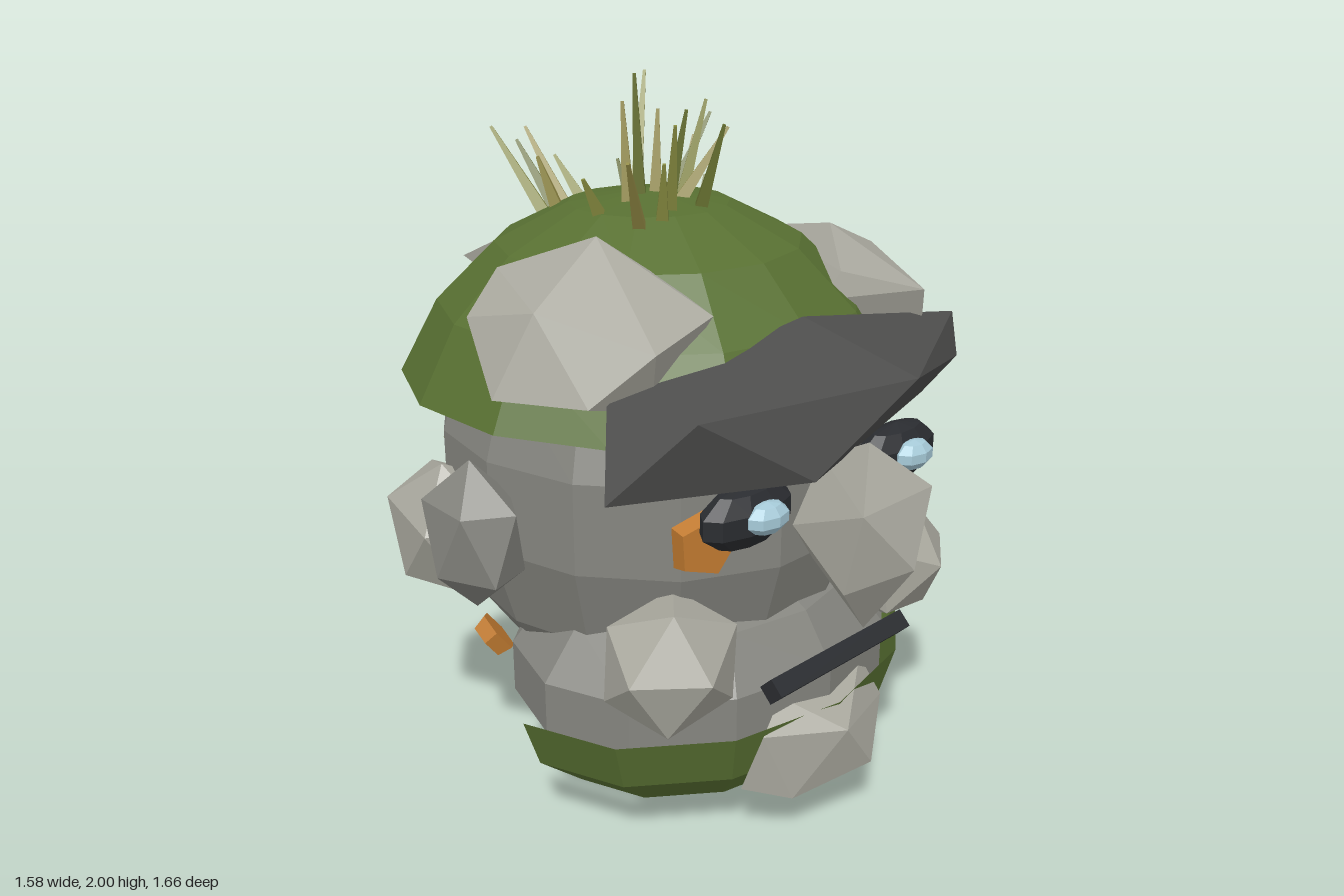
import * as THREE from 'three';
import { ConvexGeometry } from 'three/addons/geometries/ConvexGeometry.js';

const mat = (color, side = THREE.FrontSide) =>
  new THREE.MeshStandardMaterial({ color, flatShading: true, side });

const V = (p) => new THREE.Vector3(...p);

export function createModel() {
  const root = new THREE.Group();
  const rock = mat(0x85857f), stone = mat(0xa9a89e), brow = mat(0x4e4e4d);
  const moss = mat(0x587032, THREE.DoubleSide), dark = mat(0x2a2c30);
  const glow = mat(0xa6cad8), amber = mat(0xc07a30), yellow = mat(0xa8a55c), jade = mat(0xa3bda3);
  const blades = [mat(0x85893f), mat(0x66702f), mat(0x928a45)];

  const add = (name, geometry, material, position = [0, 0, 0], scale = [1, 1, 1]) => {
    const mesh = new THREE.Mesh(geometry, material);
    mesh.name = name;
    mesh.position.set(...position);
    mesh.scale.set(...scale);
    root.add(mesh);
    return mesh;
  };
  // Faceted stone as the hull of a few corners
  const hull = (name, material, points) => add(name, new ConvexGeometry(points.map(V)), material);
  // Turned icosahedron fitted to the given half sizes
  const boulder = (name, center, half, turn, material = stone) => {
    const g = new THREE.IcosahedronGeometry(1, 0);
    g.applyMatrix4(new THREE.Matrix4().makeRotationFromEuler(new THREE.Euler(...turn)));
    g.computeBoundingBox();
    const b = g.boundingBox.max;
    g.scale(half[0] / b.x, half[1] / b.y, half[2] / b.z);
    return add(name, g, material, center);
  };

  // Head masses
  add('skull', new THREE.SphereGeometry(1, 14, 9), rock, [0, 0.93, -0.105], [0.62, 0.735, 0.635]);
  add('jaw', new THREE.SphereGeometry(1, 12, 7), rock, [0, 0.405, 0.1], [0.625, 0.34, 0.49]);

  // Moss cap, with vertices on the centre line front and back
  const cap = new THREE.SphereGeometry(1, 14, 4, 0, Math.PI * 2, 0, Math.PI * 70 / 180);
  cap.rotateY(Math.PI / 2);
  add('mossCap', cap, moss, [0, 0.93, -0.125], [0.75, 0.76, 0.745]);

  // Moss beard: a wide upper band and a narrower part under the chin
  const q = Math.PI / 4;
  const beardAt = [0, 0.385, 0.09], beardSize = [0.68, 0.385, 0.525];
  add('mossBeard', new THREE.SphereGeometry(1, 6, 2, 0, Math.PI, 2 * q, q), moss, beardAt, beardSize);
  add('mossUnderChin', new THREE.SphereGeometry(1, 4, 2, Math.PI / 6, Math.PI * 2 / 3, 3 * q, q),
    moss, beardAt, beardSize);

  // Brow ridge
  hull('brow', brow, [
    [0, 1.44, 0.44], [0.69, 1.31, 0.42], [0.64, 1.2, 0.48], [0.59, 1.08, 0.4],
    [-0.53, 1.3, 0.28], [-0.5, 1.31, 0.56], [-0.65, 1.1, 0.4], [-0.2, 1.11, 0.665],
    [0.2, 1.28, 0.665], [0.22, 1.08, 0.5], [0.45, 1.11, 0.27], [0.45, 1.24, 0.26], [-0.4, 1.11, 0.28],
  ]);

  // Nose
  const nose = [[0, 1.16, 0.67], [0, 0.64, 0.68], [0, 0.86, 0.83], [0, 1.08, 0.52], [0, 0.78, 0.5]];
  for (const s of [-1, 1]) {
    nose.push([s * 0.14, 1.03, 0.77], [s * 0.14, 0.8, 0.72], [s * 0.11, 0.92, 0.52]);
  }
  hull('nose', stone, nose);

  // Paired features
  for (const s of [-1, 1]) {
    const side = s > 0 ? 'left' : 'right';
    add(side + 'EyeSocket', new THREE.SphereGeometry(1, 10, 5), dark, [s * 0.3, 1.015, 0.53], [0.16, 0.085, 0.07]);
    add(side + 'Eye', new THREE.SphereGeometry(1, 8, 5), glow, [s * 0.295, 1.025, 0.595], [0.07, 0.042, 0.045]);
    boulder(side + 'Cheek', [s * 0.445, 0.605, 0.41], [0.195, 0.175, 0.18], [0.45, s * 0.35, s * 0.3]);
    boulder(side + 'Ear', [s * 0.68, 0.88, -0.085], [0.11, 0.21, 0.155], [0, s * 0.1, s * 0.55], rock);
  }
  // Stones behind the ears differ in size
  boulder('leftEarBack', [0.53, 0.84, -0.33], [0.14, 0.345, 0.225], [0.3, 0, 0.5], rock);
  boulder('rightEarBack', [-0.55, 0.77, -0.37], [0.15, 0.21, 0.21], [0.2, -0.2, -0.3], stone);

  // Stones set in the moss
  hull('leftTempleStone', stone, [
    [0.21, 1.42, 0.33], [0.27, 1.49, 0.34], [0.43, 1.57, 0.165], [0.505, 1.5, -0.16],
    [0.67, 1.47, 0.13], [0.655, 1.29, 0.14], [0.49, 1.42, 0.46], [0.54, 1.25, 0.42],
    [0.57, 1.24, 0.26], [0.3, 1.25, 0.2], [0.52, 1.28, -0.06],
  ]);
  hull('rightTempleStone', stone, [
    [-0.35, 1.64, 0.05], [-0.505, 1.55, -0.16], [-0.63, 1.45, -0.13], [-0.7, 1.29, 0.05],
    [-0.6, 1.5, 0.1], [-0.26, 1.54, 0.2], [-0.235, 1.47, 0.35], [-0.45, 1.42, 0.37],
    [-0.58, 1.29, 0.27], [-0.4, 1.25, 0.3],
  ]);
  hull('crownStone', stone, [
    [-0.31, 1.475, -0.57], [-0.12, 1.46, -0.66], [0.05, 1.46, -0.7], [0.2, 1.45, -0.68],
    [0.3, 1.475, -0.54], [0.03, 1.605, -0.45], [0, 1.2, -0.5],
  ]);
  hull('chinStone', stone, [
    [-0.25, 0.36, 0.56], [-0.14, 0.42, 0.52], [0.2, 0.41, 0.52], [0.255, 0.28, 0.56],
    [0.13, 0.16, 0.63], [0, 0.09, 0.49], [-0.17, 0.15, 0.6], [-0.29, 0.2, 0.52],
    [-0.05, 0.35, 0.685], [0.06, 0.2, 0.685], [0, 0.25, 0.4],
  ]);

  // Mouth bar, turned on edge
  add('mouth', new THREE.BoxGeometry(0.54, 0.053, 0.053), dark, [0, 0.525, 0.6]).rotation.x = q;

  // Flat crystals facing outward
  const crystal = (name, material, at, normal, radius, sides = 6) => {
    const m = add(name, new THREE.CylinderGeometry(radius * 0.85, radius, 0.045, sides), material, at);
    m.quaternion.setFromUnitVectors(new THREE.Vector3(0, 1, 0), V(normal).normalize());
  };
  crystal('cheekCrystal', amber, [-0.365, 0.925, 0.45], [-0.35, 0, 0.9], 0.095, 5);
  crystal('templeCrystal', jade, [0.59, 1.1, 0.19], [0.9, 0.25, 0.4], 0.078);
  crystal('upperBackCrystal', yellow, [-0.1, 1.13, -0.72], [-0.15, 0.2, -0.97], 0.07);
  crystal('lowerBackCrystal', yellow, [-0.27, 0.88, -0.69], [-0.3, 0, -0.95], 0.07);
  crystal('jawCrystal', amber, [-0.49, 0.43, -0.28], [-0.7, -0.6, -0.35], 0.07);

  // Grass blades: base x, base z, tip x, tip z, tip y
  const grass = [
    [-0.1, -0.45, -0.13, -0.65, 1.81], [-0.06, -0.45, -0.07, -0.61, 1.77],
    [-0.02, -0.45, -0.02, -0.63, 1.8], [0.04, -0.44, 0.03, -0.56, 1.72],
    [0.28, -0.49, 0.27, -0.55, 1.68], [-0.13, -0.36, -0.165, -0.4, 1.76],
    [0.02, -0.2, 0.18, -0.33, 1.97], [0.11, -0.15, 0.28, -0.165, 1.86],
    [0.03, -0.04, 0.17, 0.01, 1.85], [0.07, -0.07, 0.15, -0.055, 1.92],
    [0.03, 0.04, 0.05, 0.11, 1.88], [-0.18, 0.03, -0.285, 0.1, 1.82],
    [-0.2, -0.095, -0.26, -0.1, 1.75], [-0.04, -0.12, -0.055, -0.12, 2.0],
    [-0.1, -0.1, -0.09, -0.13, 1.93], [-0.06, 0.02, -0.1, 0.08, 1.89],
    [-0.05, 0, -0.03, 0.05, 1.92], [0, -0.1, 0.03, -0.12, 1.9],
    [-0.12, 0.05, -0.15, 0.09, 1.8], [0.4, -0.43, 0.5, -0.52, 1.67],
    [0.36, -0.38, 0.45, -0.4, 1.75], [0.33, -0.43, 0.38, -0.49, 1.68],
    [0.43, -0.36, 0.5, -0.4, 1.62],
  ];
  const tufts = new THREE.Group();
  tufts.name = 'grass';
  root.add(tufts);
  grass.forEach(([bx, bz, tx, tz, ty], i) => {
    const r2 = (bx / 0.75) ** 2 + ((bz + 0.125) / 0.745) ** 2;
    const base = V([bx, 0.9 + 0.76 * Math.sqrt(1 - r2), bz]);
    const dir = V([tx, ty, tz]).sub(base);
    const g = new THREE.CylinderGeometry(0.006, 0.025, dir.length(), 4);
    g.translate(0, dir.length() / 2, 0);
    const blade = new THREE.Mesh(g, blades[i % 3]);
    blade.name = 'grassBlade';
    blade.position.copy(base);
    blade.quaternion.setFromUnitVectors(new THREE.Vector3(0, 1, 0), dir.normalize());
    tufts.add(blade);
  });

  return root;
}
